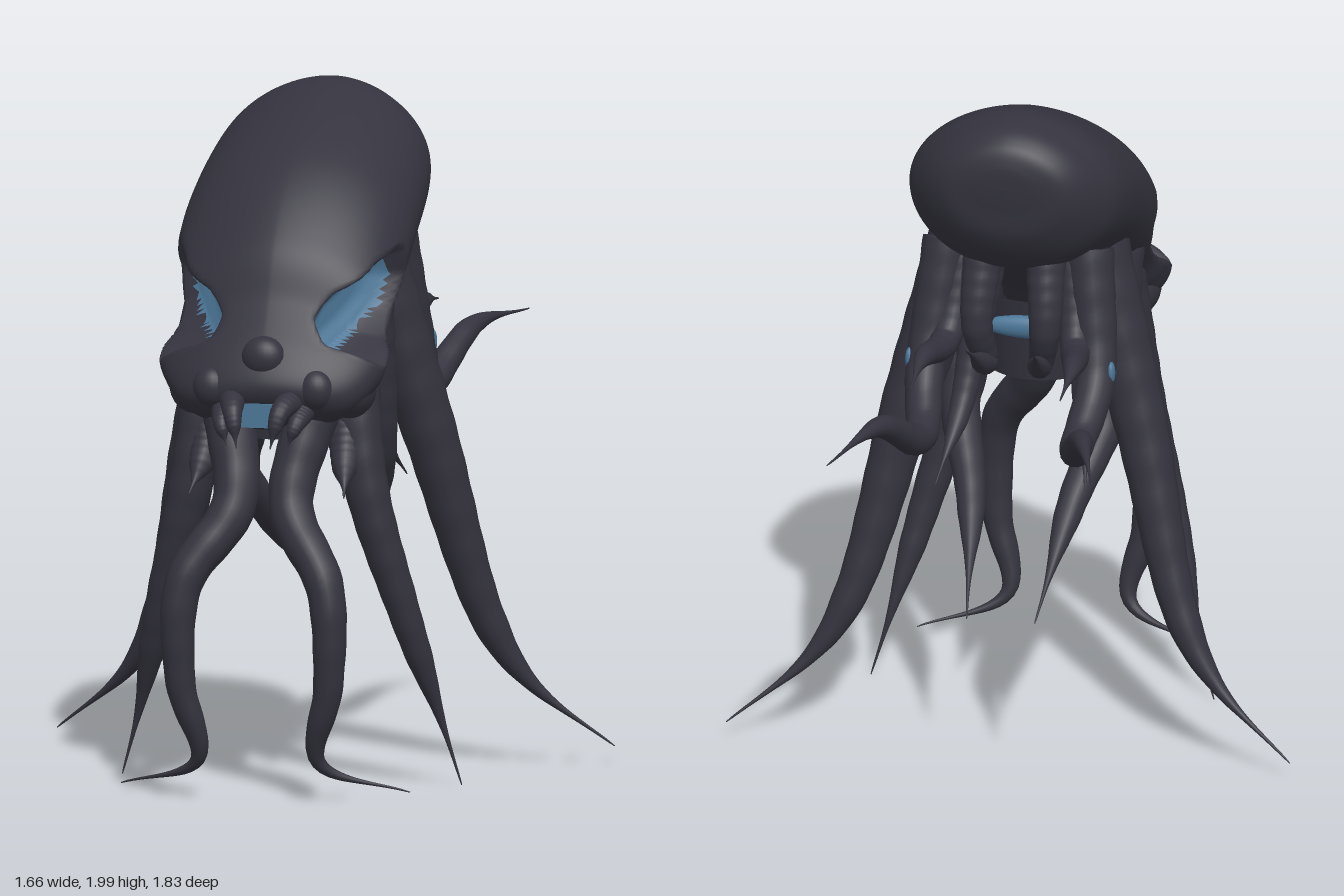
import * as THREE from 'three';

const skin = new THREE.MeshStandardMaterial({ color: 0x34333e, side: THREE.DoubleSide });
skin.name = 'dark skin';
const blue = new THREE.MeshStandardMaterial({ color: 0x4b7697, side: THREE.DoubleSide });
blue.name = 'eye blue';

const V = (x, y, z) => new THREE.Vector3(x, y, z);
const { smoothstep, lerp, clamp } = THREE.MathUtils;

function addMesh(parent, name, geometry, material, pos = [0, 0, 0], scale = [1, 1, 1]) {
  const m = new THREE.Mesh(geometry, material);
  m.name = name;
  m.position.set(...pos);
  m.scale.set(...scale);
  parent.add(m);
}

// Closed-ring grid of points turned into a smooth surface; isBlue(midpoint) picks the second material
function loftGeometry(rows, cols, pointAt, isBlue = () => false) {
  const points = [], lists = [[], []];
  for (let i = 0; i <= rows; i++) for (let j = 0; j < cols; j++) {
    points.push(pointAt(i / rows, (j / cols) * Math.PI * 2));
  }
  for (let i = 0; i < rows; i++) for (let j = 0; j < cols; j++) {
    const a = i * cols + j, b = a + cols, c = i * cols + ((j + 1) % cols), d = c + cols;
    for (const [p, q, r] of [[a, b, c], [b, d, c]]) {
      const mid = V(0, 0, 0).add(points[p]).add(points[q]).add(points[r]).divideScalar(3);
      lists[isBlue(mid) ? 1 : 0].push(p, q, r);
    }
  }
  const g = new THREE.BufferGeometry().setFromPoints(points);
  g.setIndex(lists.flat());
  g.addGroup(0, lists[0].length, 0);
  g.addGroup(lists[0].length, lists[1].length, 1);
  g.computeVertexNormals();
  return g;
}

// Angry eye outline as seen from the side: z, y
const EYE = [
  [0.705, 1.33], [0.69, 1.4], [0.645, 1.46], [0.535, 1.53], [0.44, 1.56],
  [0.415, 1.5], [0.467, 1.417], [0.56, 1.345], [0.66, 1.285],
];

// Signed depth of a side-view point inside the eye outline (positive is inside)
function eyeDepth(z, y) {
  let inside = false, dist = 1;
  EYE.forEach(([z1, y1], i) => {
    const [z2, y2] = EYE[(i + 1) % EYE.length];
    if ((y1 > y) !== (y2 > y) && z < ((z2 - z1) * (y - y1)) / (y2 - y1) + z1) inside = !inside;
    const dz = z2 - z1, dy = y2 - y1;
    const t = clamp(((z - z1) * dz + (y - y1) * dy) / (dz * dz + dy * dy), 0, 1);
    dist = Math.min(dist, Math.hypot(z - z1 - t * dz, y - y1 - t * dy));
  });
  return inside ? dist : -dist;
}

// Head cross-sections, rear to face: top z, y | bottom z, y | half width
const SECTIONS = [
  [-0.213, 1.83, -0.213, 1.83, 0],
  [-0.21, 1.9, -0.205, 1.76, 0.1],
  [-0.18, 1.96, -0.185, 1.66, 0.19],
  [-0.1, 1.997, -0.1, 1.545, 0.27],
  [0.05, 1.985, 0, 1.5, 0.32],
  [0.4, 1.825, 0.22, 1.4, 0.34],
  [0.62, 1.62, 0.46, 1.24, 0.335],
  [0.7, 1.45, 0.54, 1.17, 0.34],
  [0.75, 1.34, 0.6, 1.11, 0.32],
  [0.81, 1.21, 0.69, 1.07, 0.22],
  [0.77, 1.12, 0.77, 1.12, 0],
];

// Head lofted through the sections; eye sockets are cut back to planes that converge on the face
function headGeometry() {
  const curve = (f) => new THREE.CatmullRomCurve3(SECTIONS.map(f), false, 'catmullrom', 0.5);
  const top = curve((s) => V(0, s[1], s[0]));
  const bottom = curve((s) => V(0, s[3], s[2]));
  const width = curve((s) => V(s[4], 0, 0));
  return loftGeometry(130, 120, (t, a) => {
    const p = top.getPoint(t).lerp(bottom.getPoint(t), (1 - Math.cos(a)) / 2);
    const ridge = 1.1 + 0.3 * smoothstep(t, 0.45, 0.7) * (1 - smoothstep(t, 0.75, 0.92));
    const power = Math.cos(a) > 0 ? ridge : 0.9;
    const x = Math.max(width.getPoint(t).x, 0) * Math.abs(Math.sin(a)) ** power;
    const d = eyeDepth(p.z, p.y);
    const eyeX = 0.285 - 0.57 * (p.z - 0.42) - 0.03 * smoothstep(d, 0, 0.05);
    p.x = Math.sign(Math.sin(a)) * lerp(x, Math.min(x, eyeX), smoothstep(d, -0.025, 0.005));
    return p;
  }, (mid) => eyeDepth(mid.z, mid.y) > 0);
}

// Limb along a path, thinning to a whip-like tip
function limbGeometry(points, radius) {
  const rows = 64, path = new THREE.CatmullRomCurve3(points);
  const { normals, binormals } = path.computeFrenetFrames(rows);
  return loftGeometry(rows, 14, (t, a) => {
    const i = Math.round(t * rows);
    const whip = 1 - 0.8 * smoothstep(t, 0.68, 0.95);
    const r = 0.0015 + radius * (1 - t) ** 0.6 * whip * (1 + 0.015 * Math.sin(i * 1.3));
    const p = path.getPointAt(t)
      .addScaledVector(normals[i], r * Math.cos(a))
      .addScaledVector(binormals[i], -r * Math.sin(a));
    p.y = Math.max(p.y, 0);
    return p;
  });
}

export function createModel() {
  const model = new THREE.Group();
  model.name = 'tentacledCreature';

  // Head with sunken eyes
  addMesh(model, 'head', headGeometry(), [skin, blue]);

  // Face bumps and small blue patches on the collar and rear tentacles
  const ball = new THREE.SphereGeometry(1, 24, 16);
  addMesh(model, 'browBump', ball, skin, [0, 1.29, 0.755], [0.065, 0.062, 0.05]);
  for (const s of [1, -1]) {
    addMesh(model, 'cheekBump', ball, skin, [s * 0.155, 1.2, 0.755], [0.055, 0.06, 0.05]);
    addMesh(model, 'jowl', ball, skin, [s * 0.23, 1.19, 0.64], [0.075, 0.085, 0.1]);
    addMesh(model, 'gillPatch', ball, blue, [s * 0.212, 1.17, 0.46], [0.012, 0.03, 0.025]);
    addMesh(model, 'rearPatch', ball, blue, [s * 0.297, 1.23, -0.1], [0.012, 0.035, 0.02]);
  }

  // Mouth: collar, blue lining below and behind, blue strip between the fangs
  addMesh(model, 'collar', new THREE.CylinderGeometry(1, 0.85, 0.26, 32, 1, true), skin,
    [0, 1.17, 0.46], [0.22, 1, 0.25]);
  addMesh(model, 'mouthLining', ball, blue, [0, 1.05, 0.46], [0.18, 0.03, 0.205]);
  addMesh(model, 'rearLining', ball, blue, [0, 1.22, 0.215], [0.14, 0.035, 0.025]);
  addMesh(model, 'mouthStrip', new THREE.BoxGeometry(0.12, 0.07, 0.008), blue, [0, 1.125, 0.8]);

  // Mirrored pair of limbs, given by its left path
  const limbPair = (name, radius, ...path) => {
    for (const s of [1, -1]) {
      const points = path.map(([x, y, z]) => V(s * x, y, z));
      addMesh(model, (s > 0 ? 'left ' : 'right ') + name, limbGeometry(points, radius), skin);
    }
  };

  // Walking tentacles
  limbPair('front tentacle', 0.075, [0.13, 1.14, 0.66], [0.085, 0.86, 0.77], [0.21, 0.64, 0.87],
    [0.22, 0.35, 0.87], [0.18, 0.12, 0.82], [0.43, 0.03, 0.73]);
  limbPair('cheek tentacle', 0.078, [0.2, 1.3, 0.52], [0.26, 0.9, 0.57], [0.36, 0.53, 0.52],
    [0.45, 0.2, 0.43], [0.505, 0.01, 0.405]);
  limbPair('side tentacle', 0.098, [0.19, 1.52, 0.2], [0.34, 1, 0.12], [0.49, 0.43, 0],
    [0.6, 0.25, -0.05], [0.83, 0.06, -0.135]);

  // Trailing tentacles
  limbPair('rear long tentacle', 0.07, [0.21, 1.56, 0.03], [0.25, 1.2, -0.1], [0.23, 1.07, -0.29],
    [0.3, 1.21, -0.57], [0.39, 1.22, -0.9]);
  limbPair('rear short tentacle', 0.06, [0.16, 1.56, 0.05], [0.19, 1.3, -0.09], [0.22, 1.32, -0.3],
    [0.22, 1.3, -0.49]);
  limbPair('rear inner tentacle', 0.06, [0.09, 1.58, -0.02], [0.1, 1.35, -0.09], [0.08, 1.22, -0.05],
    [0.1, 1.34, -0.27]);
  limbPair('inner long tentacle', 0.08, [0.22, 1.42, 0.4], [0.22, 0.96, 0.28], [0.15, 0.74, 0.08],
    [0.1, 0.49, -0.25]);
  limbPair('inner short tentacle', 0.06, [0.14, 1.42, 0.28], [0.18, 1.02, 0.12], [0.22, 0.84, -0.1]);

  // Jaw barbs and fangs
  limbPair('jaw barb', 0.07, [0.2, 1.16, 0.52], [0.21, 0.98, 0.62], [0.23, 0.88, 0.72]);
  limbPair('mandible', 0.04, [0.09, 1.17, 0.76], [0.07, 1.14, 0.85], [0.05, 1.04, 0.885]);
  limbPair('outer fang', 0.035, [0.12, 1.14, 0.75], [0.11, 1.1, 0.82], [0.09, 1.04, 0.84]);
  return model;
}
